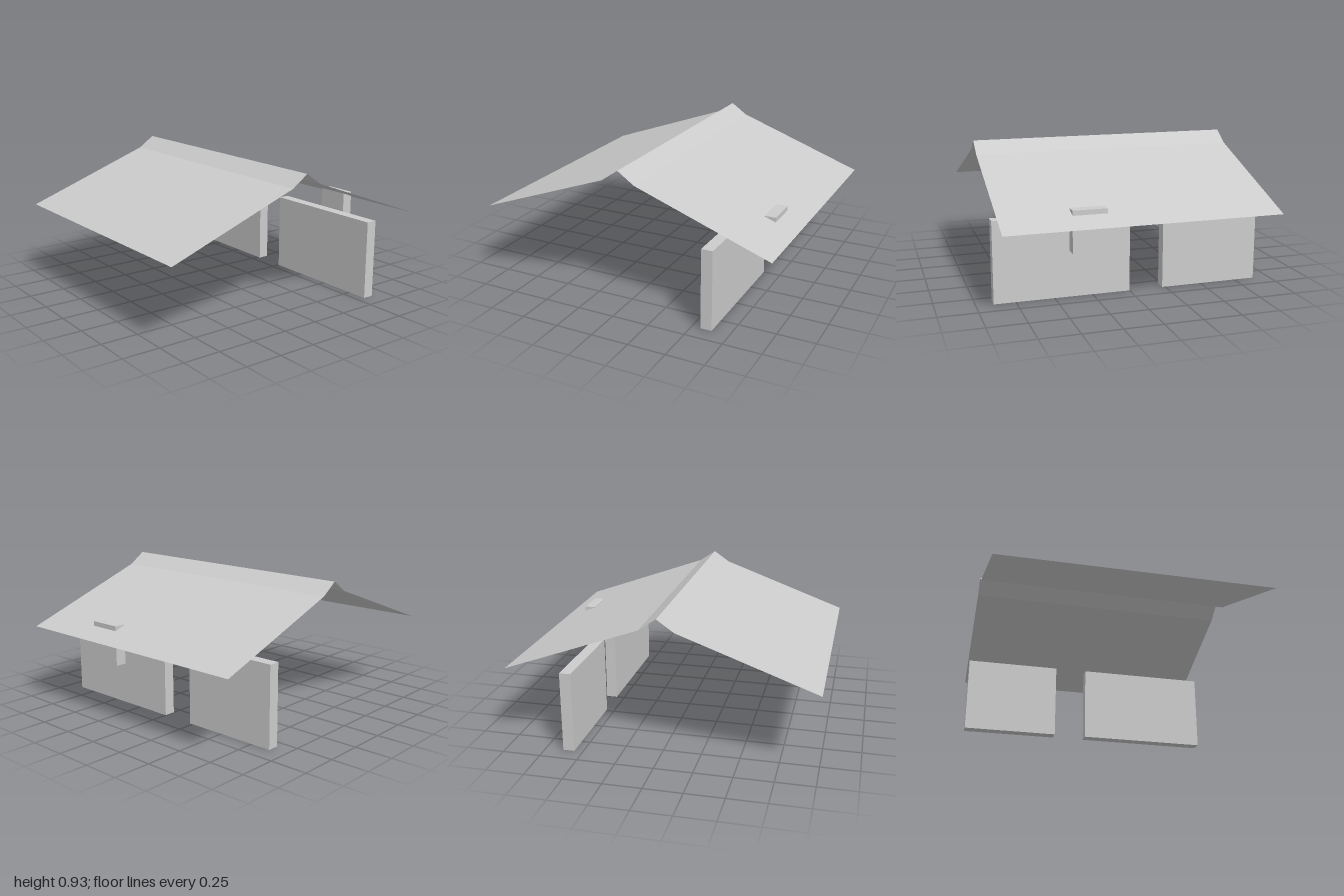
import * as THREE from 'three';

const HALF_WIDTH = 0.89;

// Thin sheet spanning the full width between two profile points [z, y]
function roofPanel(name, [z0, y0], [z1, y1], material) {
  const w = HALF_WIDTH;
  const geometry = new THREE.BufferGeometry();
  geometry.setAttribute('position', new THREE.Float32BufferAttribute([
    -w, y0, z0, w, y0, z0, w, y1, z1, -w, y1, z1,
  ], 3));
  geometry.setIndex([0, 1, 2, 0, 2, 3]);
  geometry.computeVertexNormals();
  const mesh = new THREE.Mesh(geometry, material);
  mesh.name = name;
  return mesh;
}

// Box given by its extents on each axis
function block(name, [x0, x1], [y0, y1], [z0, z1], material) {
  const mesh = new THREE.Mesh(new THREE.BoxGeometry(x1 - x0, y1 - y0, z1 - z0), material);
  mesh.position.set((x0 + x1) / 2, (y0 + y1) / 2, (z0 + z1) / 2);
  mesh.name = name;
  return mesh;
}

export function createModel() {
  const grey = new THREE.MeshStandardMaterial({ color: 0xcccccc, side: THREE.DoubleSide });
  grey.name = 'light grey';
  const model = new THREE.Group();
  model.name = 'shelter';

  // Gabled roof: shallow slopes with a steeper strip along the ridge, front to back
  const roof = new THREE.Group();
  roof.name = 'roof';
  const profile = [[1, 0.533], [0.113, 0.855], [0, 0.933], [-0.113, 0.855], [-1, 0.533]];
  const names = ['frontSlope', 'frontRidgeStrip', 'backRidgeStrip', 'backSlope'];
  names.forEach((name, i) => roof.add(roofPanel(name, profile[i], profile[i + 1], grey)));
  model.add(roof);

  // Back walls with a doorway between them
  const wallY = [0, 0.533], wallZ = [-0.632, -0.557];
  model.add(block('rightWall', [-HALF_WIDTH, -0.228], wallY, wallZ, grey));
  model.add(block('leftWall', [0, HALF_WIDTH], wallY, wallZ, grey));

  // Short chimney piercing the back slope
  model.add(block('chimney', [0.22, 0.44], [0.35, 0.617], [-0.855, -0.78], grey));

  return model;
}
